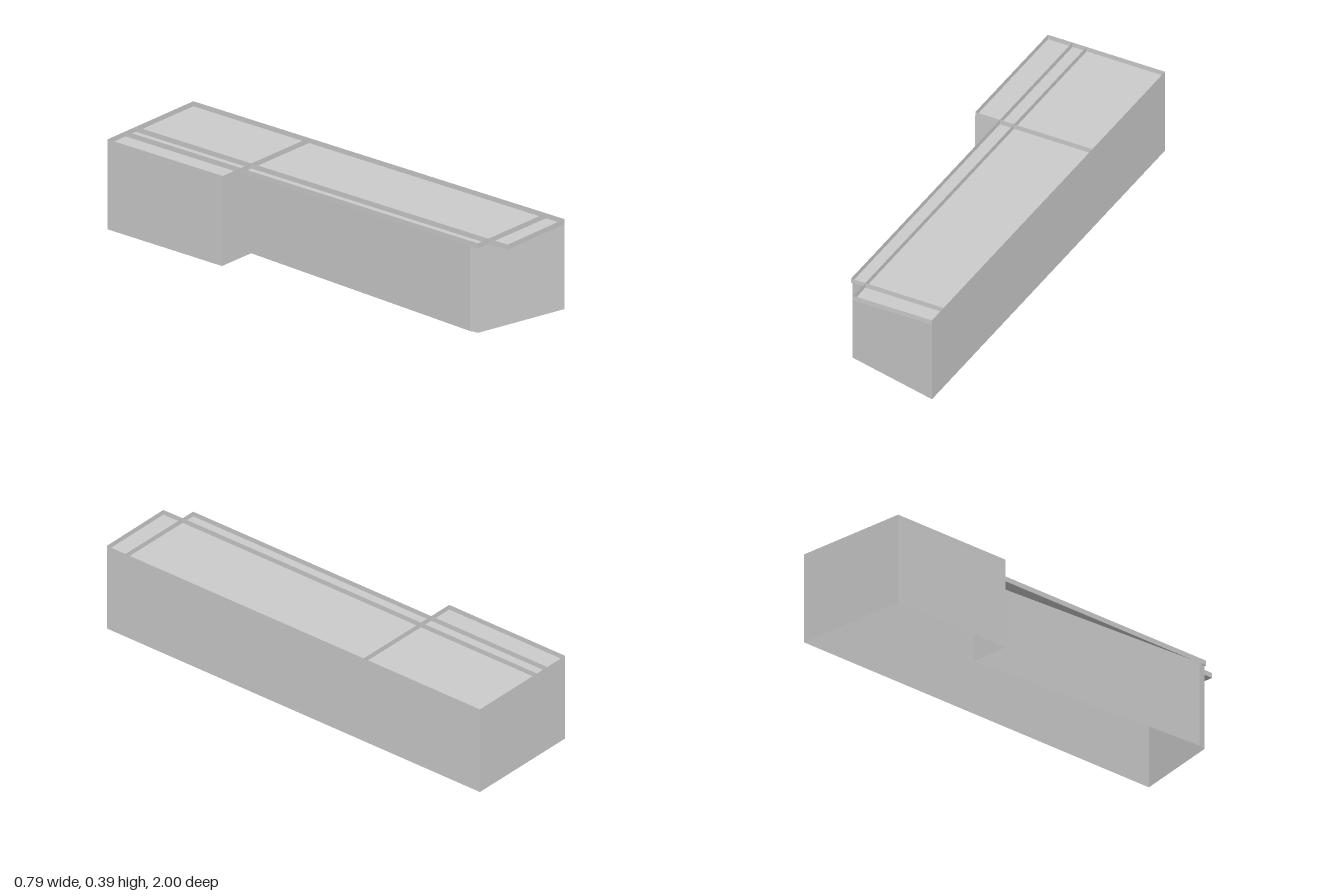
import * as THREE from 'three';

const ROOF = 0.37, TOP = 0.392;
const material = new THREE.MeshStandardMaterial({ color: 0xcccccc, side: THREE.DoubleSide, flatShading: true });

// Plan points as [x, z]
const backRight = [-0.397, -0.926], backLeft = [0.136, -0.998], frontLeft = [0.395, 0.95];
const frontTip = [0.04, 1.0], stepInner = [0.025, 0.9], stepOuter = [-0.04, 0.909];
const notchInner = [-0.205, -0.335], notchOuter = [-0.317, -0.32];

// Upright sheet following a plan path between two heights
function wall(name, path, y0, y1) {
  const pos = [];
  for (let i = 0; i < path.length - 1; i++) {
    const [ax, az] = path[i], [bx, bz] = path[i + 1];
    pos.push(ax, y0, az, bx, y0, bz, bx, y1, bz, ax, y0, az, bx, y1, bz, ax, y1, az);
  }
  const geo = new THREE.BufferGeometry();
  geo.setAttribute('position', new THREE.Float32BufferAttribute(pos, 3));
  geo.computeVertexNormals();
  const mesh = new THREE.Mesh(geo, material);
  mesh.name = name;
  return mesh;
}

export function createModel() {
  const group = new THREE.Group();
  group.name = 'building';

  // Outer walls, open underneath; the long side is set back below the roof
  group.add(wall('outerWalls', [
    backRight, [-0.32, -0.322], [-0.14, -0.345], [-0.047, 0.87], [-0.035, 0.906],
    frontLeft, backLeft, backRight,
  ], 0, ROOF));

  // Flat roof, overhanging at the front and along the recessed side
  const outline = [backRight, notchOuter, notchInner, stepOuter, stepInner, frontTip, frontLeft, backLeft];
  const shape = new THREE.Shape(outline.map(([x, z]) => new THREE.Vector2(x, -z)));
  const roof = new THREE.Mesh(new THREE.ShapeGeometry(shape).rotateX(-Math.PI / 2), material);
  roof.position.y = ROOF;
  roof.name = 'roof';
  group.add(roof);

  // Thin raised rim round the roof
  group.add(wall('roofRim', [...outline, outline[0]], ROOF, TOP));

  // Raised dividers continuing the rim lines across the roof
  const dividers = {
    outerLengthDivider: [notchInner, [-0.285, -0.941]],
    innerLengthDivider: [stepInner, [-0.221, -0.95]],
    middleCrossDivider: [notchInner, [0.217, -0.391]],
    frontCrossDivider: [stepInner, [0.382, 0.853]],
  };
  for (const [name, path] of Object.entries(dividers)) group.add(wall(name, path, ROOF, TOP));

  return group;
}
